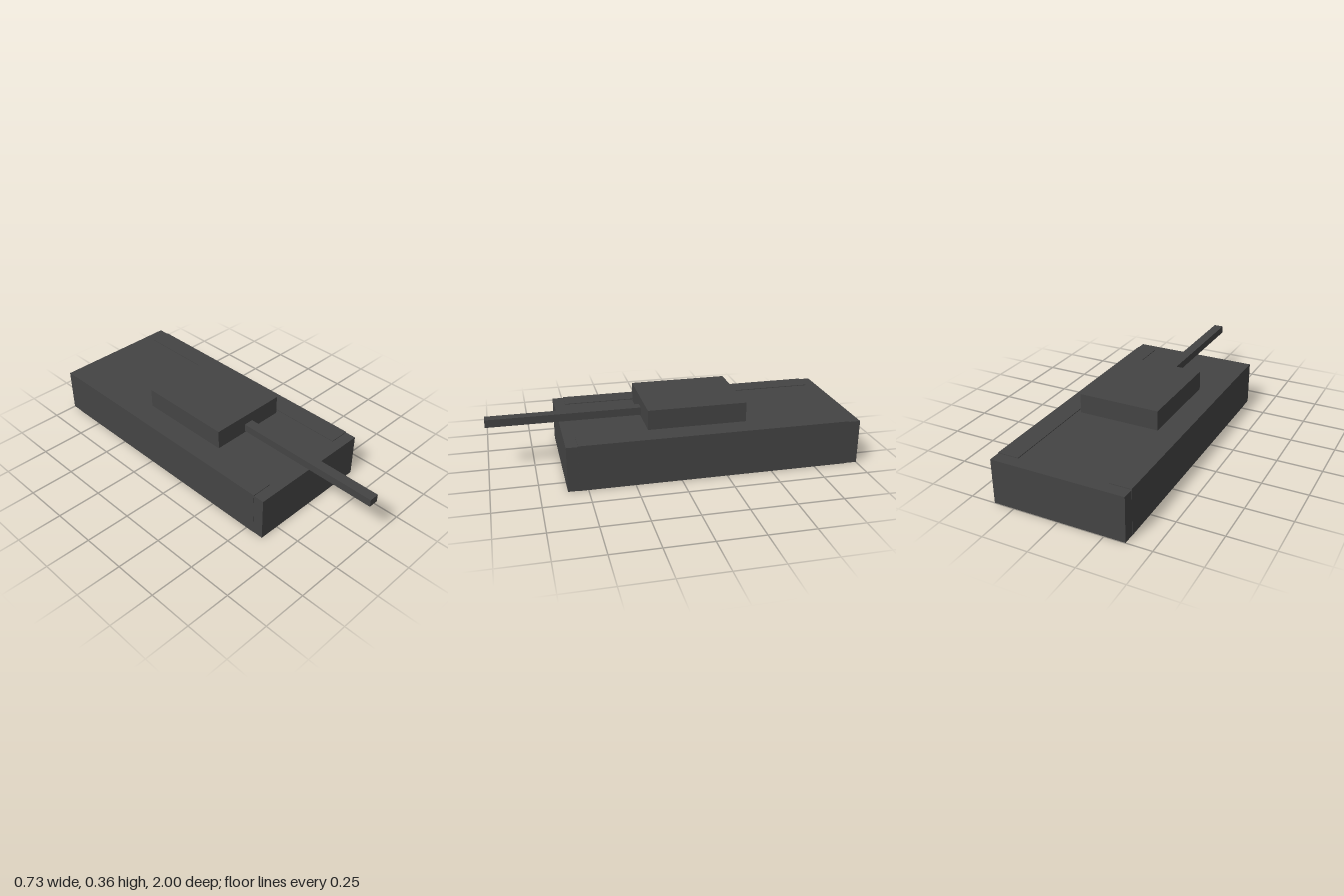
import * as THREE from 'three';

const material = new THREE.MeshStandardMaterial({ color: 0x444444, flatShading: true });

// Box given by its [min, max] extents on each axis
function block(name, [x0, x1], [y0, y1], [z0, z1]) {
  const mesh = new THREE.Mesh(new THREE.BoxGeometry(x1 - x0, y1 - y0, z1 - z0), material);
  mesh.position.set((x0 + x1) / 2, (y0 + y1) / 2, (z0 + z1) / 2);
  mesh.name = name;
  return mesh;
}

export function createModel() {
  const model = new THREE.Group();
  model.name = 'tank';

  // Body, turret and gun
  model.add(
    block('hull', [-0.363, 0.363], [0.001, 0.248], [-1, 0.607]),
    block('turret', [-0.226, 0.226], [0.248, 0.357], [-0.39, 0.155]),
    block('gunBarrel', [-0.028, 0.028], [0.258, 0.301], [0.155, 1]),
  );

  // Tracks stand just proud of the hull on each side
  for (const [name, side] of [['leftTrack', 1], ['rightTrack', -1]]) {
    const track = block(name, [0.248, 0.364], [0, 0.252], [-0.935, 0.545]);
    track.position.x *= side;
    model.add(track);
  }
  return model;
}
